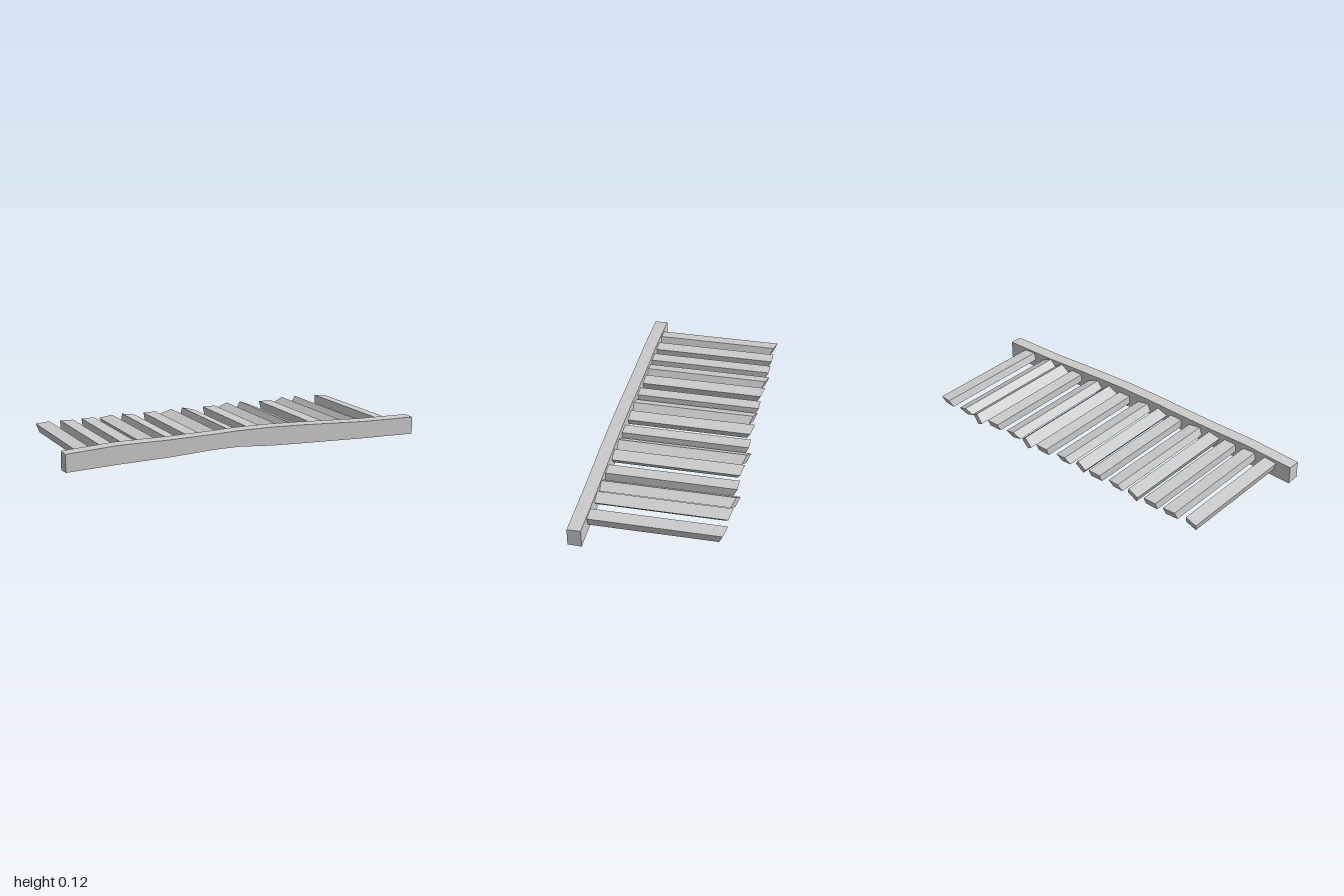
import * as THREE from 'three';

const material = new THREE.MeshStandardMaterial({ color: 0xcccccc, flatShading: true });

// Beam stations: x, top, front bottom edge, back bottom edge
const STATIONS = [
  [-1, 0.098, 0.003, 0], [-0.72, 0.115, 0.015, 0.009], [-0.45, 0.115, 0.022, 0.013],
  [-0.2, 0.12, 0.036, 0.035], [-0.06, 0.125, 0.037, 0.036], [0.13, 0.125, 0.024, 0.018],
  [0.3, 0.12, 0.018, 0.015], [0.48, 0.112, 0.013, 0.012], [0.7, 0.102, 0.007, 0.005], [1, 0.098, 0.002, 0],
];

// Slats: centre x, roll in degrees, z of the upper left far corner
const SLATS = [
  [-0.87, 11, -0.37], [-0.742, -4, -0.365], [-0.617, 0, -0.365], [-0.502, 18, -0.375], [-0.385, -13, -0.37],
  [-0.25, 1, -0.365], [-0.14, 28, -0.363], [-0.025, -19, -0.37], [0.118, 0, -0.37], [0.225, 38, -0.387],
  [0.335, -28, -0.376], [0.48, 0, -0.37], [0.593, 45, -0.392], [0.695, -34, -0.378], [0.848, -9, -0.375],
];

const WIDTH = 0.074, HEIGHT = 0.068, SQUASH = 0.66;

// Gently arched front beam
function makeBeam() {
  const n = STATIONS.length - 1;
  const geo = new THREE.BoxGeometry(n, 1, 1, n, 1, 1);
  const p = geo.attributes.position;
  for (let i = 0; i < p.count; i++) {
    const [x, top, frontLow, backLow] = STATIONS[Math.round(p.getX(i) + n / 2)];
    const front = p.getZ(i) > 0;
    const y = p.getY(i) > 0 ? top - (front ? 0.002 : 0) : front ? frontLow : backLow;
    p.setXYZ(i, x, y, front ? 0.394 : 0.322);
  }
  geo.computeVertexNormals();
  const mesh = new THREE.Mesh(geo, material);
  mesh.name = 'beam';
  return mesh;
}

// Rolled plank, flattened vertically, with an obliquely cut far end
function makeSlat([x, roll, tip], index) {
  const geo = new THREE.BoxGeometry(WIDTH, HEIGHT, 1);
  const p = geo.attributes.position;
  const a = THREE.MathUtils.degToRad(roll);
  const skew = Math.abs(roll) > 5 ? 0.014 : 0;
  for (let i = 0; i < p.count; i++) {
    const u = p.getX(i), v = p.getY(i);
    const far = tip + (u > 0 ? skew : 0) + (v < 0 ? 0.02 : 0);
    p.setXYZ(i,
      x + u * Math.cos(a) - v * Math.sin(a),
      0.0675 + SQUASH * (u * Math.sin(a) + v * Math.cos(a)),
      p.getZ(i) > 0 ? 0.335 : far);
  }
  geo.computeVertexNormals();
  const mesh = new THREE.Mesh(geo, material);
  mesh.name = `slat${index + 1}`;
  return mesh;
}

export function createModel() {
  const model = new THREE.Group();
  model.name = 'slattedRack';
  const slats = new THREE.Group();
  slats.name = 'slats';
  SLATS.forEach((s, i) => slats.add(makeSlat(s, i)));
  model.add(makeBeam(), slats);
  return model;
}
